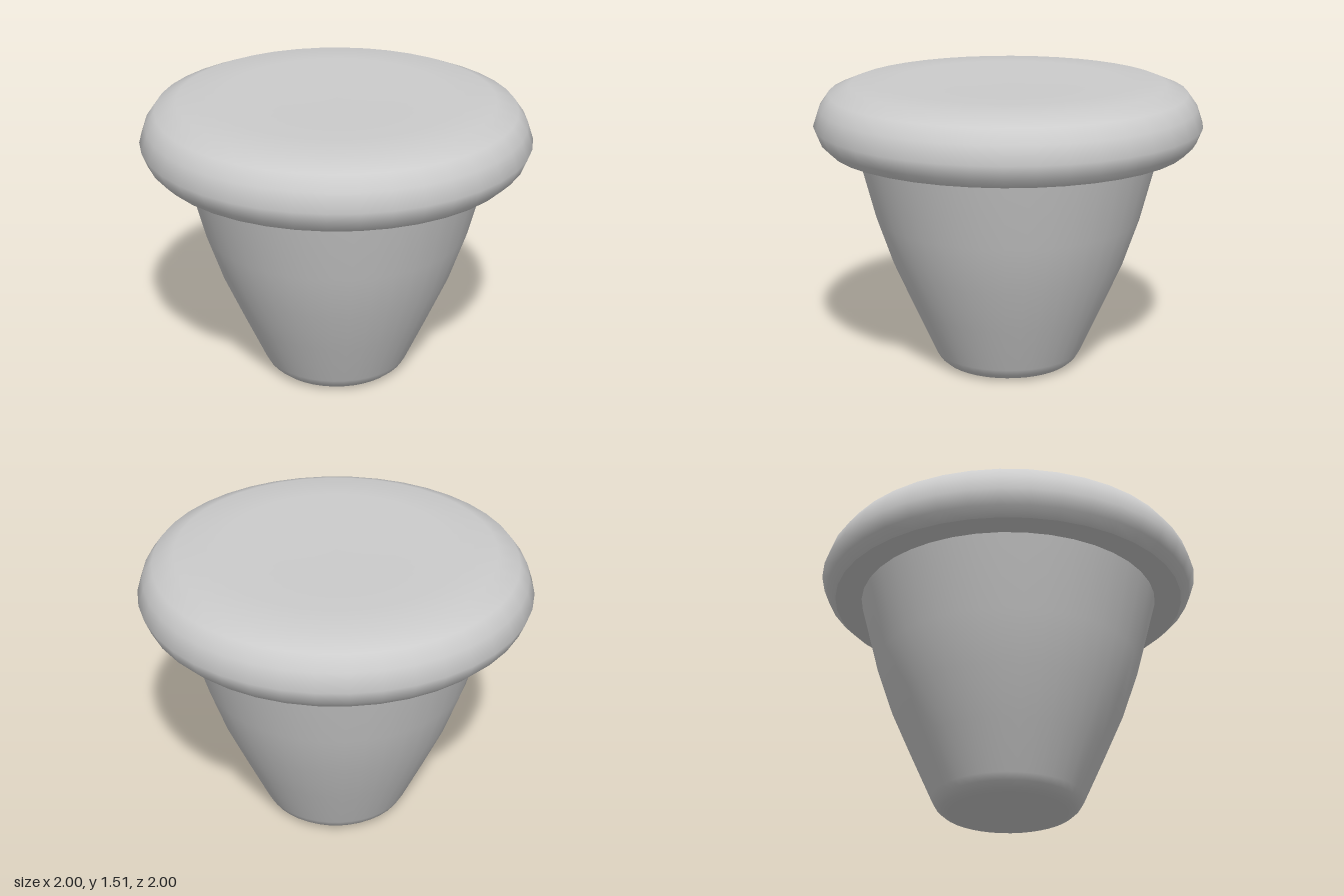
import * as THREE from 'three';

const SIDES = 40;

// Spins a bottom-to-top [radius, height] profile around the y axis
function turned(name, profile, material) {
  const points = profile.map(([r, y]) => new THREE.Vector2(r, y));
  const mesh = new THREE.Mesh(new THREE.LatheGeometry(points, SIDES), material);
  mesh.name = name;
  return mesh;
}

export function createModel() {
  const group = new THREE.Group();
  group.name = 'taperedStool';
  const grey = new THREE.MeshStandardMaterial({ color: 0xcccccc });

  // Tapered body with a rounded foot and gently bowed wall
  group.add(turned('body', [
    [0, 0], [0.27, 0], [0.30, 0.002], [0.34, 0.014], [0.37, 0.04], [0.39, 0.075],
    [0.5, 0.32], [0.605, 0.56], [0.69, 0.81], [0.787, 1.185],
  ], grey));

  // Flat ring under the cap, separate so its outer edge stays crisp
  group.add(turned('capUnderside', [[0.78, 1.18], [0.925, 1.18]], grey));

  // Bulging cap with a soft shoulder and nearly flat top
  group.add(turned('cap', [
    [0.925, 1.18], [0.97, 1.225], [1, 1.3], [0.97, 1.39], [0.92, 1.46],
    [0.81, 1.505], [0.6, 1.512], [0.3, 1.505], [0, 1.503],
  ], grey));

  return group;
}
